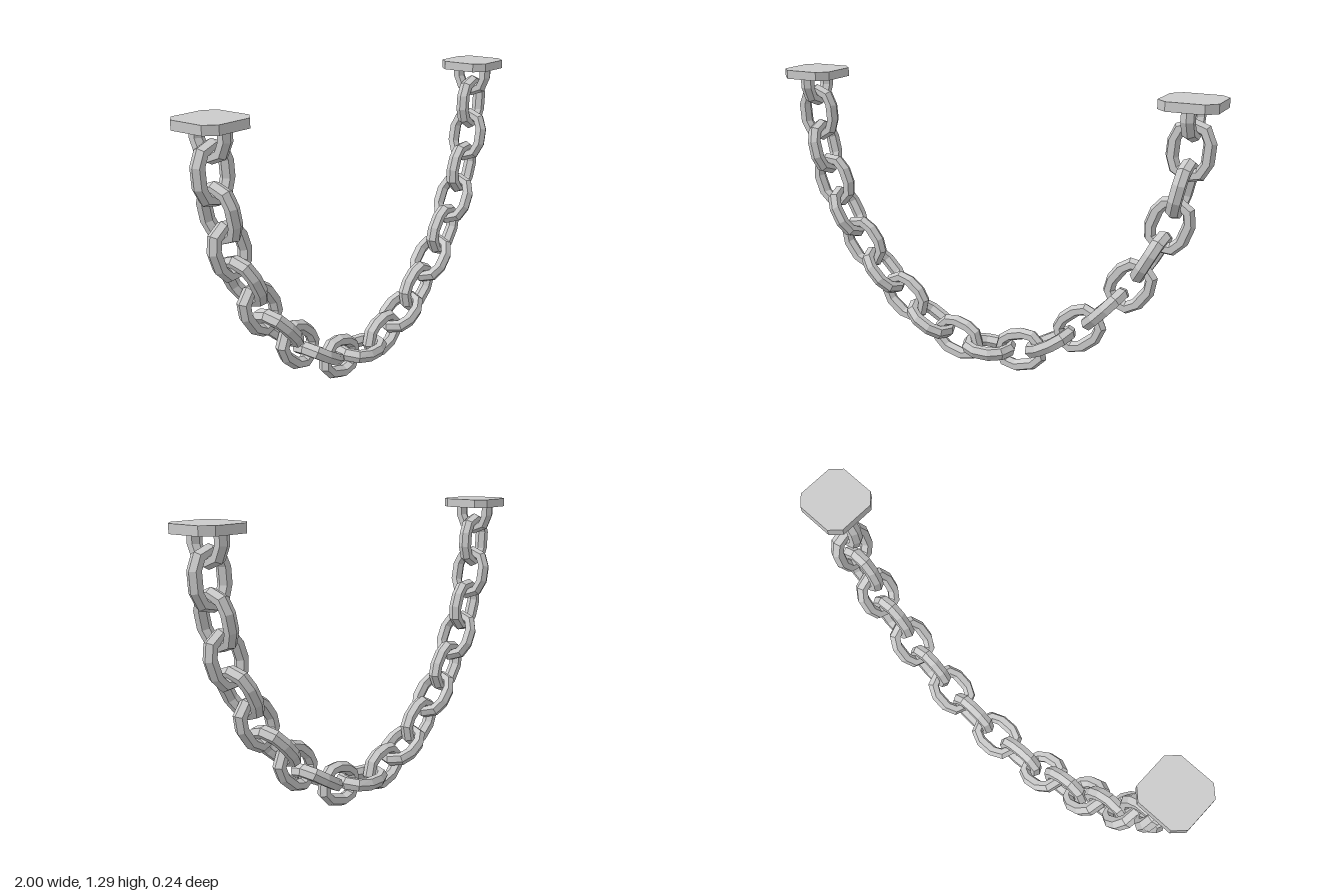
import * as THREE from 'three';

const SPACING = 0.16;      // distance between link centres
const PLATE_BOTTOM = 1.26;

// Link centres from the left-hand plate down to the lowest link, mirrored for the other side.
// The first point only extends the curve above the plate.
const half = [
  [-0.885, 1.415], [-0.882, 1.255], [-0.88, 1.095], [-0.855, 0.935], [-0.81, 0.782], [-0.742, 0.637],
  [-0.655, 0.5], [-0.55, 0.378], [-0.433, 0.268], [-0.302, 0.178], [-0.158, 0.115],
];
const centres = [...half, [0, 0.094], ...half.map(([x, y]) => [-x, y]).reverse()];
const curve = new THREE.CatmullRomCurve3(centres.map(([x, y]) => new THREE.Vector3(x, y, 0)));

// Octagonal stadium path: a cap of four segments at each end
const STRAIGHT = 0.037, CAP = 0.065, SIDE = 0.072;
const path = [];
for (const end of [1, -1]) {
  for (let k = -2; k <= 2; k++) {
    const a = k * Math.PI / 4 + (end < 0 ? Math.PI : 0);
    path.push({ end, c: Math.cos(a), s: Math.sin(a) });
  }
}

// Hexagonal wire section: [outward, sideways]
const section = [[0.027, 0], [0.014, 0.026], [-0.014, 0.026], [-0.027, 0], [-0.014, -0.026], [0.014, -0.026]];

// One link, bent to follow the hanging curve; every second link is turned a quarter
function linkGeometry(index) {
  const turned = index % 2 === 0;
  const pos = [], idx = [];
  const n = path.length, m = section.length;
  path.forEach(({ end, c, s }, i) => {
    section.forEach(([out, side], j) => {
      const along = end * STRAIGHT + (CAP + out) * c;
      const across = (SIDE + out) * s;
      const t = (index + 1 + along / SPACING) / (centres.length - 1);
      const p = curve.getPoint(t), d = curve.getTangent(t);
      const normal = turned ? -side : across;
      const z = turned ? across : side;
      // the end links stop inside the plates
      pos.push(p.x - d.y * normal, Math.min(p.y + d.x * normal, PLATE_BOTTOM + 0.015), z);
      const i2 = (i + 1) % n, j2 = (j + 1) % m;
      const a = i * m + j, b = i2 * m + j, e = i2 * m + j2, f = i * m + j2;
      idx.push(a, b, e, a, e, f);
    });
  });
  const g = new THREE.BufferGeometry();
  g.setAttribute('position', new THREE.Float32BufferAttribute(pos, 3));
  g.setIndex(idx);
  const flat = g.toNonIndexed();
  flat.computeVertexNormals();
  return flat;
}

// Square mounting plate with cut corners
function plateGeometry() {
  const r = 0.12, k = 0.077;
  const shape = new THREE.Shape([
    [r, -k], [r, k], [k, r], [-k, r], [-r, k], [-r, -k], [-k, -r], [k, -r],
  ].map(([x, y]) => new THREE.Vector2(x, y)));
  const g = new THREE.ExtrudeGeometry(shape, { depth: 0.038, bevelEnabled: false });
  return g.rotateX(-Math.PI / 2);
}

export function createModel() {
  const group = new THREE.Group();
  group.name = 'hangingChain';
  const metal = new THREE.MeshStandardMaterial({ color: 0xcccccc, flatShading: true });

  // Chain links
  const chain = new THREE.Group();
  chain.name = 'chain';
  const count = centres.length - 2;
  for (let i = 0; i < count; i++) {
    const link = new THREE.Mesh(linkGeometry(i), metal);
    link.name = i === 0 || i === count - 1 ? 'anchorLink' : 'link';
    chain.add(link);
  }
  group.add(chain);

  // Plates at both ends
  for (const side of [1, -1]) {
    const plate = new THREE.Mesh(plateGeometry(), metal);
    plate.name = side > 0 ? 'leftPlate' : 'rightPlate';
    plate.position.set(side * 0.88, PLATE_BOTTOM, 0);
    group.add(plate);
  }
  return group;
}
